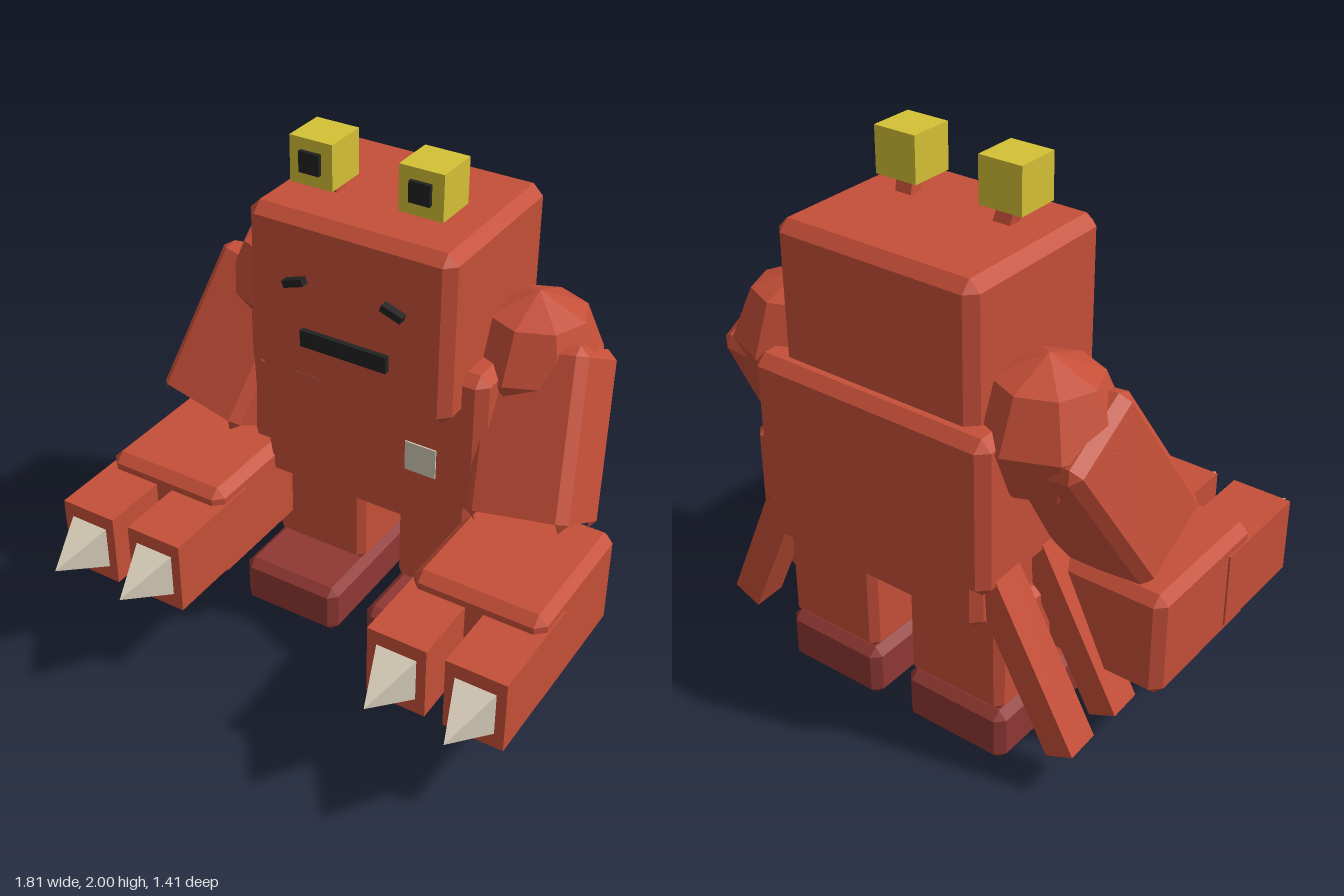
import * as THREE from 'three';

const paint = (name, color) => {
  const m = new THREE.MeshStandardMaterial({ color });
  m.name = name;
  m.side = THREE.DoubleSide;
  return m;
};

// Chamfered block whose underside is open, with pointed corner tips.
function blockGeometry(w, h, d, b) {
  const x = w / 2, y = h / 2, z = d / 2;
  const X = (i, j, k) => new THREE.Vector3(i * x, j * (y - b), k * (z - b));
  const Y = (i, j, k) => new THREE.Vector3(i * (x - b), j * y, k * (z - b));
  const Z = (i, j, k) => new THREE.Vector3(i * (x - b), j * (y - b), k * z);
  const pos = [];
  const tri = (p, q, r) => {
    const n = q.clone().sub(p).cross(r.clone().sub(p));
    const out = n.dot(p.clone().add(q).add(r)) > 0;
    for (const v of out ? [p, q, r] : [p, r, q]) pos.push(v.x, v.y, v.z);
  };
  const quad = (p, q, r, s) => { tri(p, q, r); tri(p, r, s); };
  const S = [-1, 1];
  quad(Y(-1, 1, -1), Y(1, 1, -1), Y(1, 1, 1), Y(-1, 1, 1));
  for (const s of S) {
    // walls and the top chamfers above them
    quad(X(s, -1, -1), X(s, 1, -1), X(s, 1, 1), X(s, -1, 1));
    quad(Z(-1, -1, s), Z(1, -1, s), Z(1, 1, s), Z(-1, 1, s));
    quad(X(s, 1, -1), X(s, 1, 1), Y(s, 1, 1), Y(s, 1, -1));
    quad(Z(-1, 1, s), Z(1, 1, s), Y(1, 1, s), Y(-1, 1, s));
    // upright chamfers and corner triangles
    for (const k of S) {
      quad(X(s, -1, k), X(s, 1, k), Z(s, 1, k), Z(s, -1, k));
      for (const j of S) tri(X(s, j, k), Y(s, j, k), Z(s, j, k));
    }
  }
  const g = new THREE.BufferGeometry();
  g.setAttribute('position', new THREE.Float32BufferAttribute(pos, 3));
  g.computeVertexNormals();
  return g;
}

export function createModel() {
  const root = new THREE.Group();
  const red = paint('brick red', 0xc54f38);
  const maroon = paint('dark maroon', 0x8f3833);
  const bone = paint('bone', 0xd3c9b5);
  const yellow = paint('yellow', 0xd4c036);
  const black = paint('black', 0x222222);

  const add = (name, geo, mat, x, y, z, rx = 0, ry = 0, rz = 0) => {
    const m = new THREE.Mesh(geo, mat);
    m.name = name;
    m.position.set(x, y, z);
    m.rotation.set(rx, ry, rz);
    root.add(m);
    return m;
  };
  const box = (w, h, d) => new THREE.BoxGeometry(w, h, d);
  // place a geometry by its extents along each axis
  const block = (name, mat, [x0, x1], [y0, y1], [z0, z1], b) =>
    add(name, blockGeometry(x1 - x0, y1 - y0, z1 - z0, b), mat,
      (x0 + x1) / 2, (y0 + y1) / 2, (z0 + z1) / 2);

  // trunk
  block('head', red, [-0.395, 0.395], [1.145, 1.785], [-0.645, 0.02], 0.038);
  block('torso', red, [-0.48, 0.48], [0.735, 1.31], [-0.705, -0.08], 0.037);
  block('pelvis', red, [-0.435, 0.435], [0.585, 0.8], [-0.685, -0.11], 0.032);

  // face and body patches
  add('mouth', box(0.338, 0.062, 0.025), black, 0, 1.338, 0.028);
  add('upperPatch', box(0.125, 0.125, 0.008), bone, -0.207, 1.172, -0.078);
  add('lowerPatch', box(0.122, 0.118, 0.008), bone, 0.247, 0.917, -0.078);

  // 4-sided claw with square base, pointing forward
  const claw = new THREE.ConeGeometry(0.077 * Math.SQRT2, 0.205, 4, 1).toNonIndexed();
  claw.rotateY(Math.PI / 4).rotateX(Math.PI / 2).scale(1, 1.12, 1);
  claw.computeVertexNormals();
  const ball = new THREE.SphereGeometry(0.25, 8, 4).toNonIndexed();
  ball.computeVertexNormals();

  for (const s of [-1, 1]) {
    const side = s > 0 ? 'left' : 'right';
    const span = (a, b) => (s > 0 ? [a, b] : [-b, -a]);

    // eyes on stalks, with brows
    add(side + 'Eye', box(0.165, 0.165, 0.165), yellow, s * 0.207, 1.918, -0.183);
    add(side + 'Pupil', box(0.078, 0.075, 0.02), black, s * 0.207, 1.921, -0.095);
    add(side + 'EyeStalk', box(0.065, 0.14, 0.05), red, s * 0.2, 1.81, -0.21, 0.35, 0, -s * 0.12);
    add(side + 'Brow', box(0.082, 0.026, 0.03), black, s * 0.19, 1.546, 0.035, 0, 0, -s * 0.33);

    // legs
    block(side + 'Leg', red, span(0.075, 0.468), [0.21, 0.605], [-0.61, -0.222], 0.027);
    block(side + 'Foot', maroon, span(0.065, 0.48), [0.005, 0.21], [-0.62, 0], 0.031);

    // arm
    add(side + 'Shoulder', ball, red, s * 0.5, 1.26, -0.41);
    add(side + 'Arm', blockGeometry(0.37, 0.63, 0.36, 0.035), red,
      s * 0.605, 1.035, -0.285, -Math.PI / 6, 0, s * 0.175);
    block(side + 'Hand', red, span(0.395, 0.9), [0.305, 0.707], [-0.333, 0.245], 0.035);
    for (const x of [0.5, 0.794]) {
      add(side + 'Finger', box(0.225, 0.287, 0.418), red, s * x, 0.503, 0.294);
      add(side + 'Claw', claw, bone, s * x, 0.505, 0.603);
    }

    // slanted struts hanging from the waist
    for (const z of [-0.318, -0.567])
      add(side + 'Strut', box(0.116, 0.7, 0.125), red, s * 0.56, 0.487, z, -0.06, 0, s * 0.44);
  }
  return root;
}
